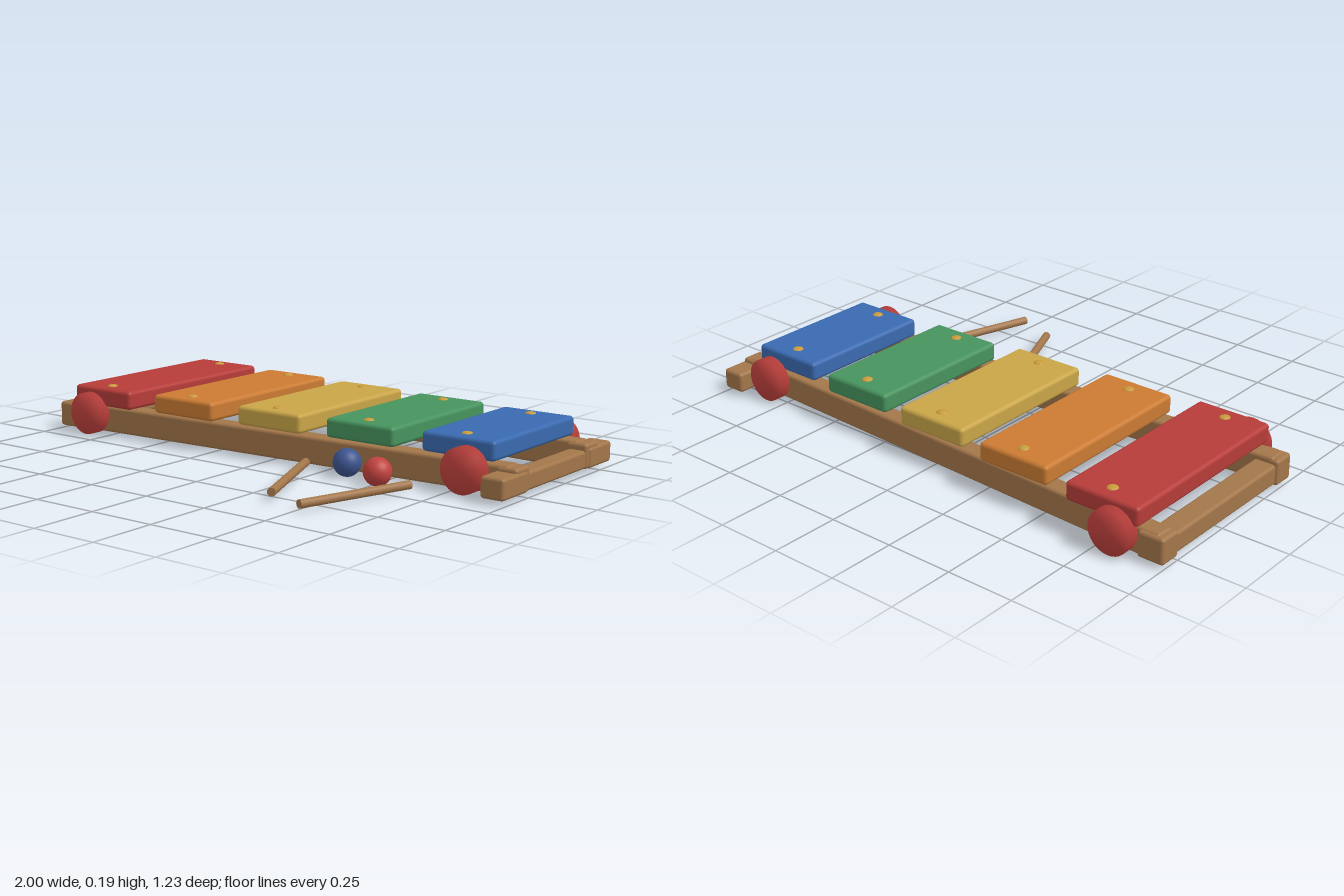
import * as THREE from 'three';
import { mergeVertices } from 'three/addons/utils/BufferGeometryUtils.js';
import { RoundedBoxGeometry } from 'three/addons/geometries/RoundedBoxGeometry.js';

const material = (name, color) => {
  const m = new THREE.MeshStandardMaterial({ color });
  m.name = name;
  return m;
};

export function createModel() {
  const model = new THREE.Group();
  model.name = 'toyXylophone';
  const MID = -0.21; // centre line of the instrument in z

  const wood = material('wood', 0xa3764a);
  const red = material('red', 0xb63c39);
  const orange = material('orange', 0xcb7b32);
  const yellow = material('yellow', 0xc9a548);
  const green = material('green', 0x47935e);
  const blue = material('blue', 0x3a6ab0);
  const gold = material('gold', 0xc99a3c);
  const ballRed = material('ballRed', 0xc2423e);
  const ballBlue = material('ballBlue', 0x3c5590);

  const add = (name, geometry, mat, x, y, z) => {
    const mesh = new THREE.Mesh(geometry, mat);
    mesh.name = name;
    mesh.position.set(x, y, z);
    model.add(mesh);
    return mesh;
  };
  const block = (name, mat, sx, sy, sz, x, y, z, r = 0.012) =>
    add(name, new RoundedBoxGeometry(sx, sy, sz, 3, r), mat, x, y, z);

  // Wheel discs shaded softly from rim to centre
  const wheel = new THREE.CylinderGeometry(0.08, 0.08, 0.045, 32);
  wheel.deleteAttribute('normal');
  wheel.deleteAttribute('uv');
  const wheelGeometry = mergeVertices(wheel);
  wheelGeometry.computeVertexNormals();
  wheelGeometry.rotateX(Math.PI / 2);

  for (const side of [1, -1]) {
    // Side rails converge towards the short bars
    const rail = block('sideRail', wood, 1.94, 0.1, 0.075, -0.01, 0.064, MID + side * 0.28);
    rail.rotation.y = side * 0.046;
    block('railEnd', wood, 0.08, 0.09, 0.085, 0.955, 0.065, MID + side * 0.236);

    // Thick ends of the cross beams
    block('beamEnd', wood, 0.1, 0.095, 0.085, -0.95, 0.062, MID + side * 0.328);
    block('beamEnd', wood, 0.09, 0.075, 0.16, 0.955, 0.0575, MID + side * 0.29);

    add('wheel', wheelGeometry, ballRed, -0.82, 0.088, MID + side * 0.388);
    add('wheel', wheelGeometry, ballRed, 0.815, 0.088, MID + side * 0.31);
  }

  // Slimmer middles of the cross beams
  block('crossBeam', wood, 0.085, 0.075, 0.66, -0.948, 0.055, MID);
  block('crossBeam', wood, 0.07, 0.066, 0.6, 0.955, 0.053, MID);

  // Tone bars with a stud at each end
  const stud = new THREE.SphereGeometry(0.02, 16, 6, 0, Math.PI * 2, 0, Math.PI / 2);
  stud.scale(1, 0.4, 1);
  const bars = [
    [red, -0.765, 0.377], [orange, -0.383, 0.349], [yellow, 0, 0.322],
    [green, 0.38, 0.297], [blue, 0.762, 0.271],
  ];
  for (const [mat, x, half] of bars) {
    block('toneBar', mat, 0.285, 0.07, half * 2, x, 0.153, MID, 0.014);
    for (const side of [1, -1])
      add('stud', stud, gold, x, 0.187, MID + side * (half - 0.061));
  }

  // Mallet heads and sticks lying in front
  const ball = new THREE.SphereGeometry(0.05, 28, 18);
  add('malletHead', ball, ballBlue, 0.36, 0.053, 0.125);
  add('malletHead', ball, ballRed, 0.52, 0.053, 0.172);
  for (const [x1, z1, x2, z2] of [[0.185, 0.13, 0.358, 0.54], [0.655, 0.178, 0.521, 0.605]]) {
    const dir = new THREE.Vector3(x2 - x1, 0, z2 - z1);
    const stick = add('malletStick', new THREE.CylinderGeometry(0.015, 0.015, dir.length(), 16),
      wood, (x1 + x2) / 2, 0.03, (z1 + z2) / 2);
    stick.quaternion.setFromUnitVectors(new THREE.Vector3(0, 1, 0), dir.normalize());
  }

  return model;
}
